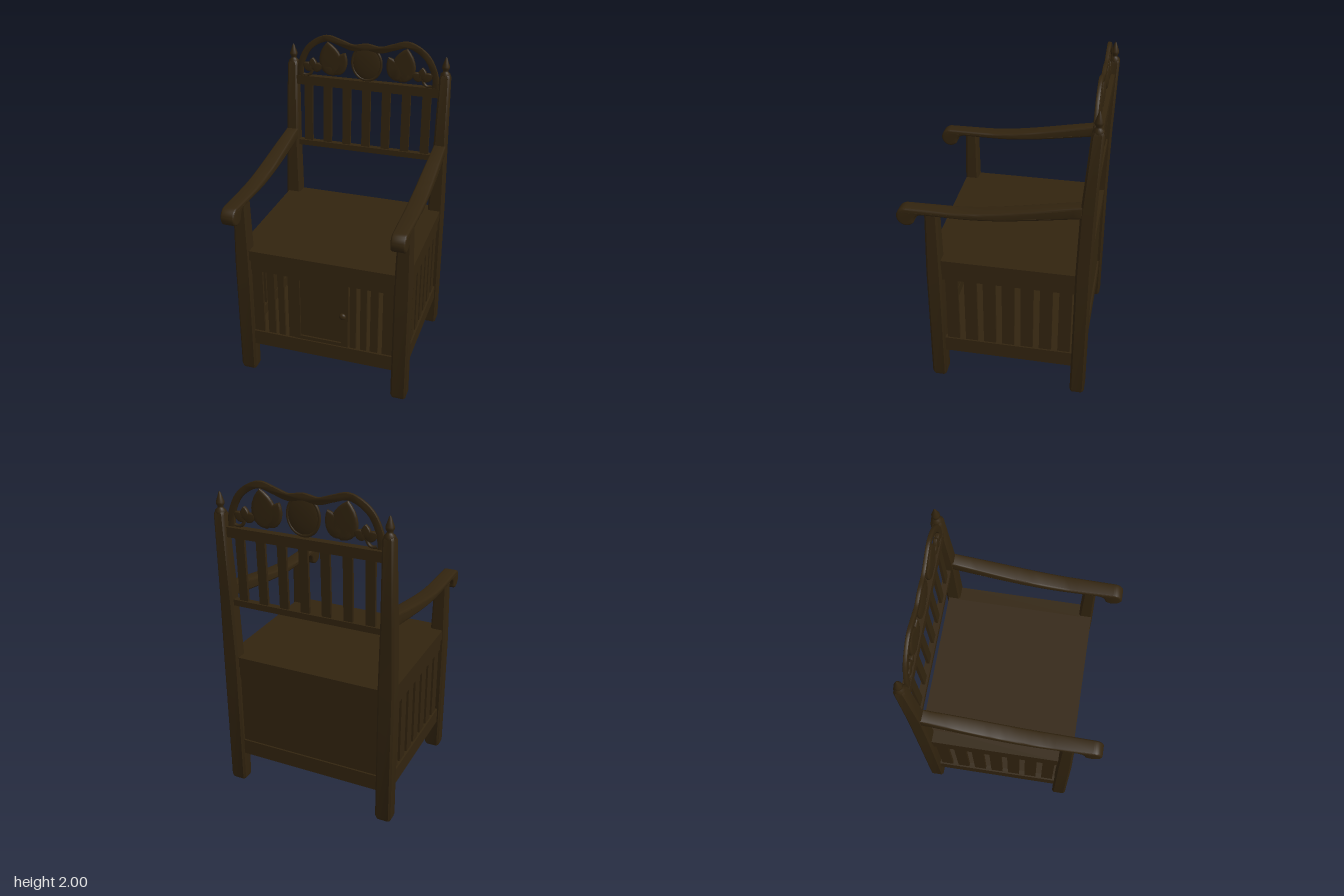
import * as THREE from 'three';
import { toCreasedNormals } from 'three/addons/utils/BufferGeometryUtils.js';

export function createModel() {
  const chair = new THREE.Group();
  chair.name = 'armchair';
  const wood = new THREE.MeshStandardMaterial({ color: 0x32240f });
  wood.name = 'darkWood';

  const add = (name, geometry, x = 0, y = 0, z = 0) => {
    const mesh = new THREE.Mesh(geometry, wood);
    mesh.name = name;
    mesh.position.set(x, y, z);
    chair.add(mesh);
    return mesh;
  };
  // Box given by its limits on each axis
  const box = (name, x0, x1, y0, y1, z0, z1) =>
    add(name, new THREE.BoxGeometry(x1 - x0, y1 - y0, z1 - z0), (x0 + x1) / 2, (y0 + y1) / 2, (z0 + z1) / 2);

  // Post with chamfered corners, lofted through levels [y, x0, x1, z0, z1]
  const post = (name, side, levels, c = 0.012) => {
    const pos = [], idx = [];
    for (const [y, a, b, z0, z1] of levels) {
      const x0 = side > 0 ? a : -b, x1 = side > 0 ? b : -a;
      for (const [x, z] of [[x0 + c, z0], [x0, z0 + c], [x0, z1 - c], [x0 + c, z1],
        [x1 - c, z1], [x1, z1 - c], [x1, z0 + c], [x1 - c, z0]]) pos.push(x, y, z);
    }
    const top = (levels.length - 1) * 8;
    for (let l = 0; l < top; l += 8) {
      for (let i = 0; i < 8; i++) {
        const p = l + i, q = l + (i + 1) % 8;
        idx.push(p, q, q + 8, p, q + 8, p + 8);
      }
    }
    for (let i = 1; i < 7; i++) idx.push(0, i + 1, i, top, top + i, top + i + 1);
    const g = new THREE.BufferGeometry();
    g.setAttribute('position', new THREE.Float32BufferAttribute(pos, 3));
    g.setIndex(idx);
    return add(name, toCreasedNormals(g, 0.5));
  };

  // Arm side profile: (z, y), ending in a scroll
  const armShape = new THREE.Shape();
  armShape.moveTo(-0.49, 1.355);
  armShape.bezierCurveTo(-0.2, 1.305, 0.05, 1.235, 0.3, 1.237);
  armShape.lineTo(0.52, 1.237);
  armShape.absarc(0.522, 1.18, 0.057, Math.PI / 2, -Math.PI * 0.78, true);
  armShape.quadraticCurveTo(0.47, 1.2, 0.42, 1.203);
  armShape.lineTo(0.2, 1.203);
  armShape.bezierCurveTo(0, 1.205, -0.2, 1.24, -0.49, 1.282);
  const makeArm = side => {
    const b = 0.012;
    const g = new THREE.ExtrudeGeometry(armShape, {
      depth: 1 - 2 * b / 0.1, bevelEnabled: true, bevelThickness: b / 0.1, bevelSize: b, bevelOffset: -b,
      bevelSegments: 3, curveSegments: 16,
    });
    g.translate(0, 0, b / 0.1 - 0.5);
    g.rotateY(-Math.PI / 2);
    const p = g.attributes.position;
    for (let i = 0; i < p.count; i++) {
      const z = p.getZ(i);
      const width = 0.08 + 0.018 * Math.max(0, 1 - ((z - 0.12) / 0.55) ** 2);
      p.setX(i, side * 0.507 + p.getX(i) * width);
    }
    add('armrest', toCreasedNormals(g, 0.6));
  };

  const finialProfile = [[0, -0.02], [0.03, -0.02], [0.032, 0.01], [0.018, 0.024], [0.016, 0.034], [0.024, 0.048],
    [0.024, 0.06], [0.015, 0.085], [0.007, 0.11], [0, 0.12]].map(([r, y]) => new THREE.Vector2(r, y));

  for (const s of [1, -1]) {
    post('frontLeg', s, [[0, 0.46, 0.55, 0.335, 0.415], [0.02, 0.455, 0.555, 0.328, 0.42],
      [0.8, 0.455, 0.555, 0.33, 0.42], [1.215, 0.465, 0.547, 0.335, 0.412]]);
    post('backLeg', s, [[0, 0.46, 0.55, -0.55, -0.47], [0.02, 0.455, 0.555, -0.556, -0.466],
      [0.9, 0.455, 0.555, -0.556, -0.466], [1.3, 0.465, 0.548, -0.562, -0.475],
      [1.79, 0.472, 0.54, -0.578, -0.51], [1.81, 0.48, 0.532, -0.572, -0.518]]);
    add('finial', new THREE.LatheGeometry(finialProfile, 16), s * 0.506, 1.8, -0.546);
    makeArm(s);

    // Side panel: rails and upright slats
    const side = (name, a, b, ...rest) => box(name, Math.min(s * a, s * b), Math.max(s * a, s * b), ...rest);
    side('sideBottomRail', 0.5, 0.535, 0.2, 0.3, -0.48, 0.34);
    side('sideTopRail', 0.5, 0.53, 0.75, 0.825, -0.48, 0.34);
    for (let i = 0; i < 7; i++) {
      const z = 0.275 - i * 0.115;
      side('sideSlat', 0.505, 0.525, 0.29, 0.76, z - 0.038, z + 0.038);
    }
    side('seatSide', 0.45, 0.538, 0.825, 0.89, -0.475, 0.335);

    // Front slats beside the door
    for (const [x, w] of [[0.425, 0.075], [0.335, 0.048], [0.267, 0.04], [0.2, 0.04]]) {
      side('frontSlat', x - w / 2, x + w / 2, 0.29, 0.76, 0.375, 0.392);
    }
  }

  // Seat, base rails, floor and closed back panel
  box('seat', -0.46, 0.46, 0.825, 0.89, -0.54, 0.412);
  box('frontTopRail', -0.46, 0.46, 0.75, 0.825, 0.37, 0.402);
  box('frontBottomRail', -0.46, 0.46, 0.2, 0.3, 0.37, 0.405);
  box('backTopRail', -0.46, 0.46, 0.75, 0.825, -0.535, -0.505);
  box('backBottomRail', -0.46, 0.46, 0.2, 0.3, -0.538, -0.505);
  box('backPanel', -0.46, 0.46, 0.29, 0.76, -0.527, -0.51);
  box('floor', -0.505, 0.505, 0.21, 0.23, -0.51, 0.375);

  // Door with frame, recessed panel and knob
  const door = new THREE.Shape([[-0.178, 0.302], [0.17, 0.302], [0.17, 0.748], [-0.178, 0.748]]
    .map(p => new THREE.Vector2(...p)));
  door.holes.push(new THREE.Path([[-0.142, 0.325], [-0.142, 0.735], [0.125, 0.735], [0.125, 0.325]]
    .map(p => new THREE.Vector2(...p))));
  add('doorFrame', new THREE.ExtrudeGeometry(door, { depth: 0.025, bevelEnabled: false }), 0, 0, 0.373);
  box('doorPanel', -0.15, 0.135, 0.315, 0.742, 0.374, 0.386);
  add('doorKnob', new THREE.SphereGeometry(0.022, 16, 12), 0.138, 0.53, 0.404).scale.z = 0.7;

  // Backrest rails and slats, leaning with the back legs
  box('backrestLowerRail', -0.475, 0.475, 1.235, 1.272, -0.54, -0.5);
  box('backrestUpperRail', -0.48, 0.48, 1.66, 1.72, -0.556, -0.51);
  for (let i = -3; i <= 3; i++) {
    add('backrestSlat', new THREE.BoxGeometry(0.056, 0.42, 0.018), i * 0.133, 1.465, -0.526).rotation.x = -0.025;
  }

  // Carved crest: double arch band following one mirrored curve
  const half = [[-0.452, 1.71], [-0.445, 1.8], [-0.385, 1.915], [-0.27, 1.979], [-0.175, 1.957], [-0.09, 1.932]];
  const crest = new THREE.CatmullRomCurve3([...half, [0, 1.945], ...half.map(([x, y]) => [-x, y]).reverse()]
    .map(([x, y]) => new THREE.Vector3(x, y, 0)));
  const outer = [], inner = [];
  for (let i = 0; i <= 80; i++) {
    const p = crest.getPoint(i / 80), t = crest.getTangent(i / 80);
    outer.push(new THREE.Vector2(p.x - t.y * 0.02, p.y + t.x * 0.02));
    inner.unshift(new THREE.Vector2(p.x + t.y * 0.02, p.y - t.x * 0.02));
  }
  const band = new THREE.ExtrudeGeometry(new THREE.Shape([...outer, ...inner]), {
    depth: 0.014, bevelThickness: 0.004, bevelSize: 0.004, bevelOffset: -0.004, bevelSegments: 2,
  });
  add('crestArch', toCreasedNormals(band, 0.6), 0, 0, -0.53);

  // Oval medallion with a rim
  const disc = add('medallion', new THREE.SphereGeometry(0.1, 32, 16), 0, 1.838, -0.523);
  disc.scale.set(0.98, 1.12, 0.14);
  const rim = add('medallionRim', new THREE.TorusGeometry(0.096, 0.009, 8, 40), 0, 1.838, -0.523);
  rim.scale.y = 1.14;

  // Carved leaves: [base x, base y, length, width, lean]
  const leaf = (name, s, x, y, length, width, lean) => {
    const shape = new THREE.Shape();
    shape.moveTo(0, 0);
    shape.bezierCurveTo(width * 0.75, length * 0.1, width * 0.65, length * 0.7, 0, length);
    shape.bezierCurveTo(-width * 0.65, length * 0.7, -width * 0.75, length * 0.1, 0, 0);
    const b = width * 0.14;
    const g = new THREE.ExtrudeGeometry(shape, {
      depth: 0.008, bevelThickness: 0.008, bevelSize: b, bevelOffset: -b, bevelSegments: 3, curveSegments: 10,
    });
    add(name, toCreasedNormals(g, 0.7), s * x, y, -0.527).rotation.z = -s * lean;
  };
  for (const s of [1, -1]) {
    leaf('largeLeaf', s, 0.225, 1.735, 0.225, 0.15, 0.17);
    leaf('innerLeaf', s, 0.215, 1.745, 0.165, 0.095, -0.45);
    leaf('lowLeaf', s, 0.22, 1.76, 0.08, 0.06, 1.2);
    for (const lean of [-1.05, 0, 1.05]) leaf('smallLeaf', s, 0.365, 1.765, 0.08, 0.055, lean);
    const stem = new THREE.QuadraticBezierCurve3(new THREE.Vector3(s * 0.43, 1.73, 0),
      new THREE.Vector3(s * 0.375, 1.71, 0), new THREE.Vector3(s * 0.365, 1.78, 0));
    add('leafStem', new THREE.TubeGeometry(stem, 10, 0.01, 8), 0, 0, -0.523);
  }
  return chair;
}
